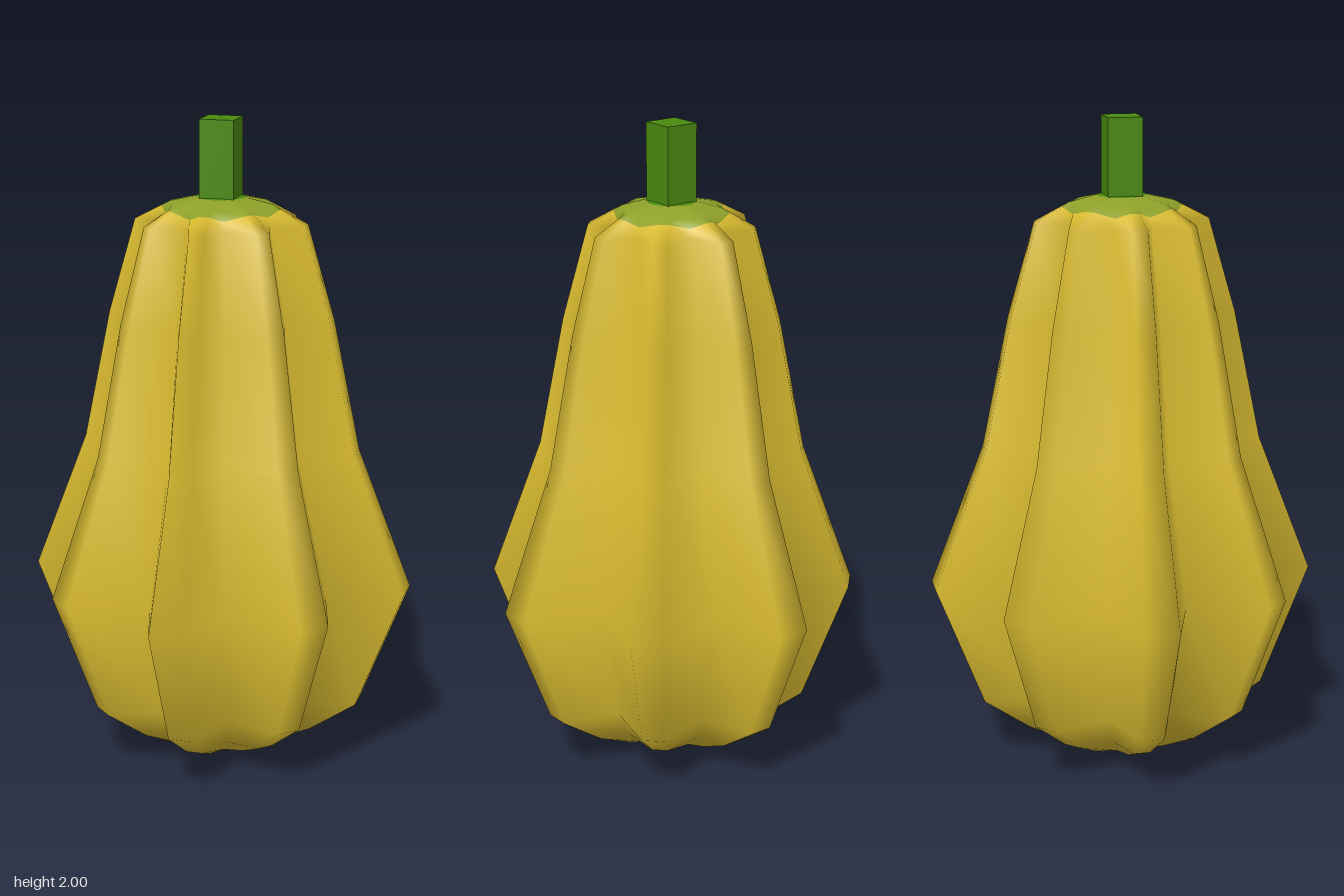
import * as THREE from 'three';

// Rings of the body from bottom to top: [rib radius, rib y, valley radius, valley y]
const RINGS = [
  [0.05, 0.003, 0.045, 0.003],
  [0.18, 0.033, 0.16, 0.04],
  [0.30, 0.087, 0.235, 0.10],
  [0.447, 0.19, 0.29, 0.19],
  [0.595, 0.57, 0.385, 0.57],
  [0.43, 1.0, 0.28, 1.0],
  [0.348, 1.4, 0.228, 1.4],
  [0.265, 1.69, 0.175, 1.69],
  [0.183, 1.733, 0.168, 1.718],
  [0.16, 1.745, 0.145, 1.742],
  [0.075, 1.765, 0.075, 1.765],
];
const RIBS = 8;
const CAP_START = 8; // bands from this ring up are green
const DEG = Math.PI / 180;

function bodyGeometry() {
  const pos = [], index = [];
  const n = RIBS * 3;
  for (const [rr, ry, vr, vy] of RINGS) {
    for (let k = 0; k < RIBS; k++) {
      const diagonal = k % 2 === 1;
      const r = rr * (diagonal ? 0.945 : 1);
      const put = (deg, rad, y) => {
        const a = (k * 45 + deg) * DEG;
        pos.push(rad * Math.sin(a), y, rad * Math.cos(a));
      };
      // two corners of the flat rib, then the valley after it
      put(-4.9, r, ry);
      put(4.9, r, ry);
      put(diagonal ? 26.8 : 18.2, vr, vy);
    }
  }
  const bottom = pos.length / 3, top = bottom + 1;
  pos.push(0, 0, 0, 0, 1.77, 0);

  for (let j = 0; j < n; j++) index.push(bottom, (j + 1) % n, j);
  let capIndex = 0;
  for (let i = 0; i < RINGS.length - 1; i++) {
    if (i === CAP_START) capIndex = index.length;
    for (let j = 0; j < n; j++) {
      const a = i * n + j, b = i * n + (j + 1) % n;
      index.push(a, b, a + n, b, b + n, a + n);
    }
  }
  const last = (RINGS.length - 1) * n;
  const stemIndex = index.length;
  for (let j = 0; j < n; j++) index.push(top, last + j, last + (j + 1) % n);

  const g = new THREE.BufferGeometry();
  g.setAttribute('position', new THREE.Float32BufferAttribute(pos, 3));
  g.setIndex(index);
  g.addGroup(0, capIndex, 0);
  g.addGroup(capIndex, stemIndex - capIndex, 1);
  g.addGroup(stemIndex, index.length - stemIndex, 2);
  g.computeVertexNormals();
  return g;
}

export function createModel() {
  const material = (name, color) => {
    const m = new THREE.MeshStandardMaterial({ color });
    m.name = name;
    return m;
  };
  const yellow = material('yellowSkin', 0xd9bb30);
  const capGreen = material('capGreen', 0x8fa028);
  const stemGreen = material('stemGreen', 0x4a8a0f);

  const group = new THREE.Group();
  group.name = 'gourd';

  // ribbed body with a green crown
  const body = new THREE.Mesh(bodyGeometry(), [yellow, capGreen, stemGreen]);
  body.name = 'ribbedBody';
  group.add(body);

  // square stem
  const stem = new THREE.Mesh(new THREE.BoxGeometry(0.106, 0.27, 0.106), stemGreen);
  stem.name = 'stem';
  stem.position.y = 1.865;
  group.add(stem);

  return group;
}
